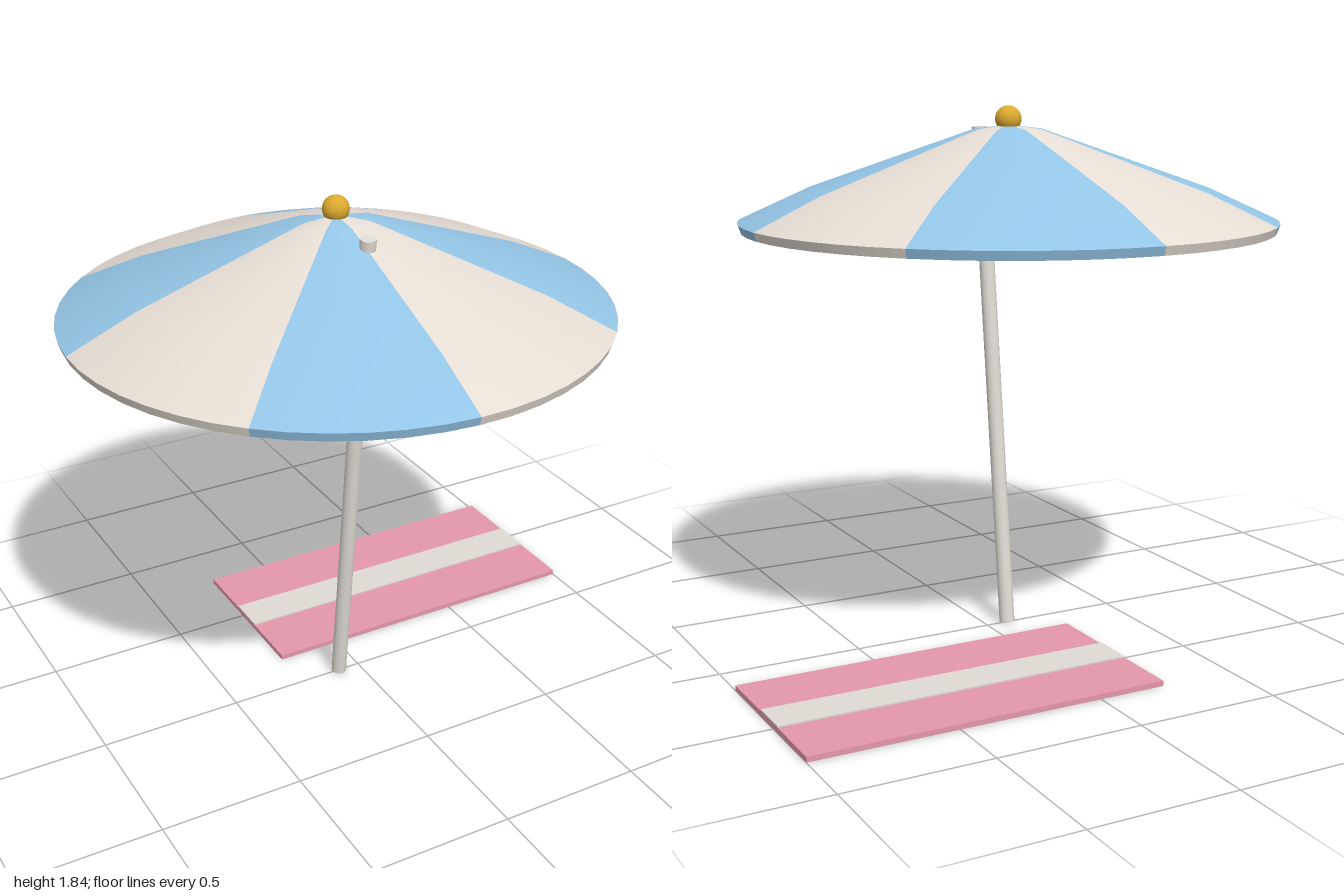
import * as THREE from 'three';

const material = (name, color) => {
  const m = new THREE.MeshStandardMaterial({ color });
  m.name = name;
  return m;
};

export function createModel() {
  const cream = material('cream', 0xe6ddd4);
  const blue = material('sky blue', 0x94c5e6);
  const offWhite = material('off white', 0xe0dbd4);
  const pink = material('pink', 0xe498ab);
  const gold = material('gold', 0xdcaa30);

  const model = new THREE.Group();
  model.name = 'beachUmbrellaAndTowel';
  const add = (name, geometry, mat, x, y, z, parent = model) => {
    const mesh = new THREE.Mesh(geometry, mat);
    mesh.name = name;
    mesh.position.set(x, y, z);
    parent.add(mesh);
    return mesh;
  };

  const umbrella = new THREE.Group();
  umbrella.name = 'umbrella';
  umbrella.position.x = -0.08;
  model.add(umbrella);

  // Canopy: eight alternating panels, whose seams fall on whole segments
  const segments = 51;
  const seams = [0, 6, 13, 19, 25, 32, 38, 45, segments];
  const striped = (name, profile) => {
    const points = profile.map(([r, y]) => new THREE.Vector2(r, y));
    const geometry = new THREE.LatheGeometry(points, segments, Math.PI / 2);
    const perSegment = 6 * (points.length - 1);
    for (let i = 0; i < 8; i++) {
      geometry.addGroup(seams[i] * perSegment, (seams[i + 1] - seams[i]) * perSegment, i % 2);
    }
    add(name, geometry, [cream, blue], 0, 0, 0, umbrella);
  };
  striped('canopyTop', [[0.92, 1.45], [0.69, 1.555], [0.115, 1.757], [0, 1.77]]);
  striped('canopyRim', [[0.91, 1.42], [0.92, 1.45]]);
  striped('canopyUnderside', [[0, 1.42], [0.91, 1.42]]);

  // Leaning pole that pokes through the canopy
  const lean = 0.12;
  const length = 1.765;
  const pole = add('pole', new THREE.CylinderGeometry(0.027, 0.027, length, 16), offWhite,
    0, 0.003 + length / 2 * Math.cos(lean), length / 2 * Math.sin(lean), umbrella);
  pole.rotation.x = lean;

  // Ball on top
  add('finial', new THREE.SphereGeometry(0.045, 24, 16), gold, 0, 1.79, 0, umbrella);

  // Towel with a raised centre stripe
  add('towel', new THREE.BoxGeometry(1.235, 0.018, 0.61), pink, 0.3825, 0.009, -0.465);
  add('towelStripe', new THREE.BoxGeometry(1.235, 0.005, 0.146), offWhite, 0.3825, 0.0205, -0.465);

  return model;
}
